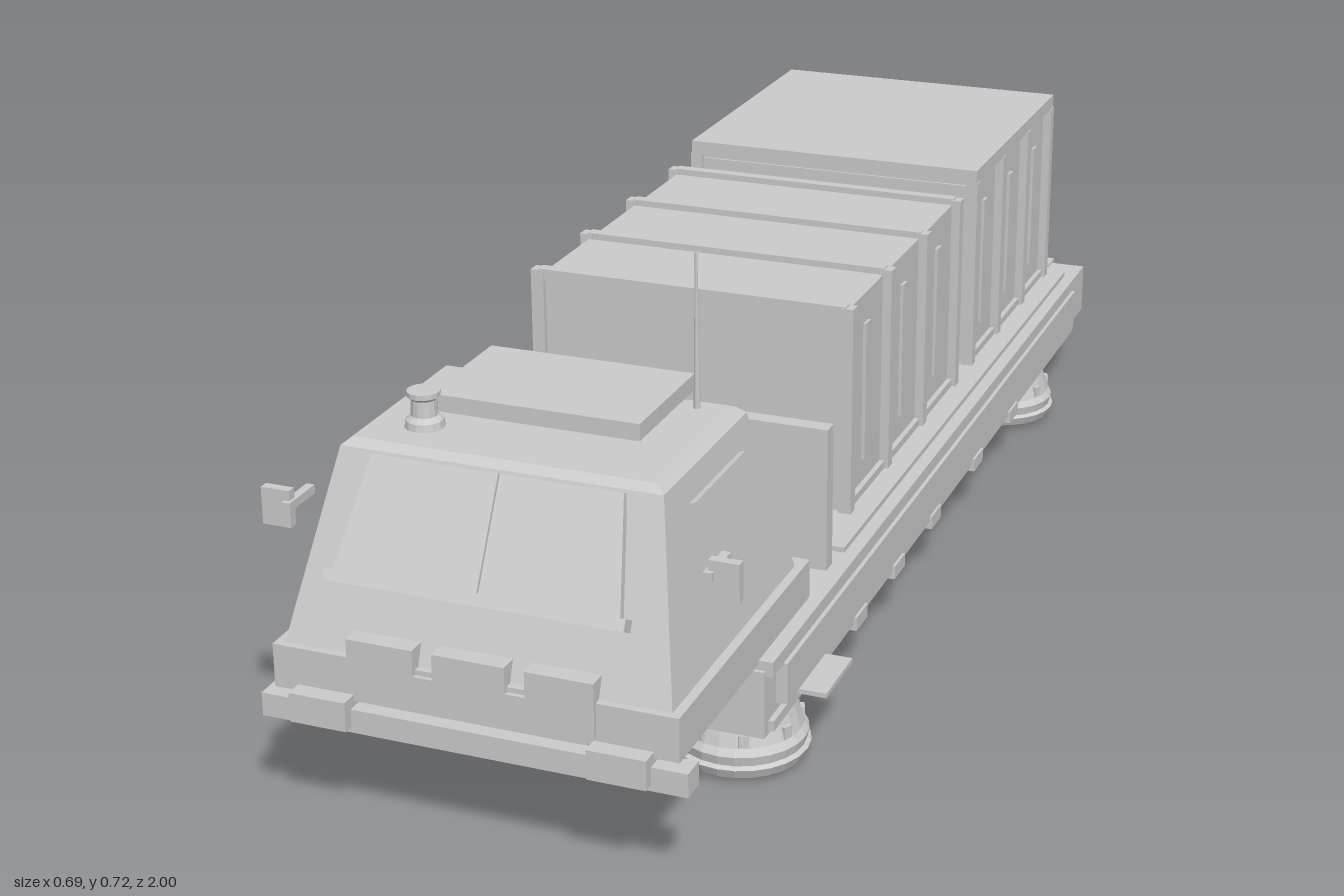
import * as THREE from 'three';

const grey = new THREE.MeshStandardMaterial({ color: 0xcccccc });
grey.name = 'light grey';

export function createModel() {
  const root = new THREE.Group();
  root.name = 'hoverTruck';

  const add = (name, geo, parent = root) => {
    const m = new THREE.Mesh(geo, grey);
    m.name = name;
    parent.add(m);
    return m;
  };
  // box given by its limits on each axis
  const box = (name, x0, x1, y0, y1, z0, z1, parent = root) => {
    const m = add(name, new THREE.BoxGeometry(x1 - x0, y1 - y0, z1 - z0), parent);
    m.position.set((x0 + x1) / 2, (y0 + y1) / 2, (z0 + z1) / 2);
    return m;
  };
  // same box on both sides
  const pair = (name, x0, x1, ...rest) => {
    box(name + 'Left', x0, x1, ...rest);
    box(name + 'Right', -x1, -x0, ...rest);
  };
  // box whose top and bottom rectangles differ: [halfWidth, zBack, zFront]
  const frustum = (name, y0, y1, bottom, top) => {
    const g = new THREE.BoxGeometry(1, 1, 1);
    const p = g.attributes.position;
    for (let i = 0; i < p.count; i++) {
      const up = p.getY(i) > 0, [hw, zb, zf] = up ? top : bottom;
      p.setXYZ(i, Math.sign(p.getX(i)) * hw, up ? y1 : y0, p.getZ(i) > 0 ? zf : zb);
    }
    g.computeVertexNormals();
    return add(name, g);
  };

  // chassis and deck
  box('chassis', -0.29, 0.29, 0.08, 0.178, -0.95, 0.705);
  box('deck', -0.3, 0.3, 0.17, 0.192, -0.985, 0.7);
  box('cargoDeck', -0.28, 0.28, 0.192, 0.2, -0.92, 0.35);
  pair('sideRail', 0.29, 0.306, 0.112, 0.172, -0.9, 0.66);
  pair('lowerRail', 0.285, 0.298, 0.085, 0.1, -0.93, 0.69);
  box('rearBumper', -0.3, 0.3, 0.108, 0.178, -0.985, -0.91);
  for (const z of [0.5, 0.33, 0.15, -0.04, -0.28, -0.5]) {
    pair('underClip', 0.27, 0.302, 0.074, 0.095, z - 0.025, z + 0.025);
  }
  pair('stepPlate', 0.29, 0.345, 0.105, 0.112, 0.505, 0.614);

  // hover pods
  const podProfile = [[0, 0], [0.066, 0], [0.066, 0.008], [0.09, 0.008], [0.096, 0.022],
    [0.09, 0.026], [0.093, 0.04], [0.086, 0.05], [0.076, 0.085], [0, 0.085]]
    .map(([r, y]) => new THREE.Vector2(r, y));
  for (const sx of [-1, 1]) for (const z of [0.61, -0.7]) {
    const pod = new THREE.Group();
    pod.name = 'hoverPod';
    pod.position.set(sx * 0.222, 0, z);
    root.add(pod);
    const g = new THREE.LatheGeometry(podProfile, 24).toNonIndexed();
    g.computeVertexNormals();
    add('podBody', g, pod);
    for (let i = 0; i < 8; i++) {
      const a = (i + 0.5) * Math.PI / 4;
      const lug = add('podLug', new THREE.BoxGeometry(0.014, 0.018, 0.012), pod);
      lug.position.set(Math.sin(a) * 0.08, 0.06, Math.cos(a) * 0.08);
      lug.rotation.y = a;
    }
  }

  // bumper bar and lamps
  box('frontBumper', -0.295, 0.295, 0.147, 0.18, 0.95, 0.985);
  pair('headLamp', 0.166, 0.246, 0.155, 0.196, 0.96, 1);
  pair('tailLamp', 0.18, 0.24, 0.155, 0.196, -1, -0.96);

  // cab
  box('cabUnderside', -0.27, 0.27, 0.176, 0.19, 0.52, 0.96);
  box('cabBase', -0.28, 0.28, 0.187, 0.248, 0.5, 0.975);
  frustum('cabShell', 0.248, 0.492, [0.267, 0.525, 0.965], [0.222, 0.59, 0.875]);
  frustum('cabRoof', 0.492, 0.502, [0.222, 0.59, 0.875], [0.21, 0.6, 0.865]);
  box('grillePanel', -0.17, 0.17, 0.2, 0.241, 0.968, 0.981);
  for (const [a, b] of [[-0.17, -0.077], [-0.05, 0.05], [0.077, 0.17]]) {
    box('grilleTab', a, b, 0.241, 0.277, 0.945, 0.981);
  }

  // windscreen, leaning back with its sill and divider
  const screen = new THREE.Group();
  screen.name = 'windscreen';
  screen.position.set(0, 0.345, 0.95);
  screen.rotation.x = -0.5;
  root.add(screen);
  const pane = new THREE.Shape([[-0.198, 0], [0.198, 0], [0.173, 0.16], [-0.173, 0.16]]
    .map(([x, y]) => new THREE.Vector2(x, y)));
  add('screenPane', new THREE.ExtrudeGeometry(pane, { depth: 0.012, bevelEnabled: false }), screen);
  box('screenSill', -0.206, 0.206, -0.006, 0.01, -0.005, 0.018, screen);
  box('screenDivider', -0.006, 0.006, 0, 0.16, 0.005, 0.017, screen);

  // side windows and mirrors
  const lean = Math.atan2(0.045, 0.244);
  for (const s of [-1, 1]) {
    const win = add('sideWindow', new THREE.BoxGeometry(0.01, 0.072, 0.175));
    win.position.set(s * 0.238, 0.42, 0.722);
    win.rotation.z = s * lean;
  }
  pair('mirror', 0.288, 0.329, 0.375, 0.427, 0.885, 0.898);
  pair('mirrorArm', 0.284, 0.296, 0.401, 0.413, 0.84, 0.905);

  // roof fittings
  box('roofHatchBase', -0.14, 0.133, 0.5, 0.51, 0.59, 0.752);
  box('roofHatch', -0.152, 0.144, 0.508, 0.531, 0.578, 0.764);
  const stackProfile = [[0, 0], [0.027, 0], [0.025, 0.012], [0.018, 0.018], [0.017, 0.04],
    [0.022, 0.044], [0.022, 0.051], [0, 0.051]].map(([r, y]) => new THREE.Vector2(r, y));
  const sg = new THREE.LatheGeometry(stackProfile, 14).toNonIndexed();
  sg.computeVertexNormals();
  add('roofStack', sg).position.set(-0.14, 0.5, 0.8);
  add('antenna', new THREE.CylinderGeometry(0.0018, 0.005, 0.217, 8)).position.set(0.165, 0.608, 0.622);

  // partition behind the cab
  box('partition', -0.275, 0.275, 0.192, 0.405, 0.39, 0.415);

  // cargo boxes: evenly spaced ribs with a raised bar in each bay
  const cargo = (name, z0, z1, covered) => {
    const bodyTop = 0.51, step = (z1 - z0 - 0.02) / 3;
    box(name + 'Body', -0.238, 0.238, 0.2, bodyTop, z0 + 0.008, z1 - 0.008);
    pair(name + 'FootRail', 0.23, 0.246, 0.2, 0.212, z0 + 0.01, z1 - 0.01);
    for (let i = 0; i < 4; i++) {
      const z = z0 + 0.01 + i * step;
      pair(name + 'Post', 0.232, 0.252, 0.2, 0.518, z - 0.01, z + 0.01);
      if (!covered) box(name + 'TopRib', -0.24, 0.24, 0.505, 0.52, z - 0.009, z + 0.009);
      if (i < 3) pair(name + 'Bar', 0.236, 0.243, 0.25, 0.465, z + step / 2 - 0.01, z + step / 2 + 0.01);
    }
    if (covered) box(name + 'Lid', -0.25, 0.25, 0.517, 0.54, z0, z1);
    if (covered) box(name + 'LidSeat', -0.235, 0.235, 0.505, 0.52, z0 + 0.012, z1 - 0.012);
  };
  cargo('frontCargo', -0.32, 0.24, false);
  cargo('rearCargo', -0.9, -0.4, true);

  return root;
}
